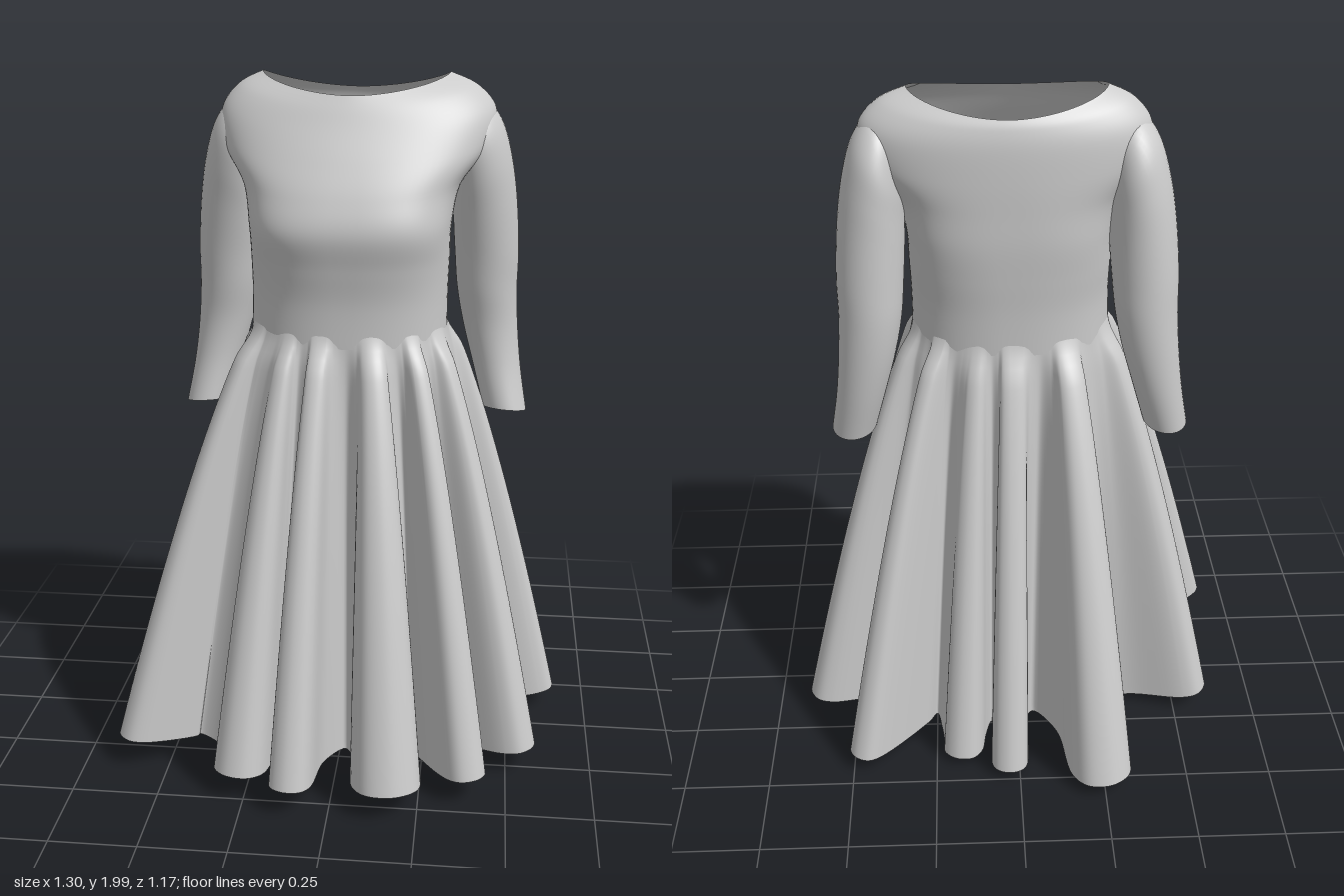
import * as THREE from 'three';

const material = new THREE.MeshStandardMaterial({ color: 0xcccccc, side: THREE.DoubleSide });
const { lerp, smoothstep, degToRad } = THREE.MathUtils;

// Closed loop surface: point(i, t) for loop index i and t running from top to bottom
function loft(name, loopCount, rowCount, point) {
  const positions = [], index = [];
  for (let r = 0; r <= rowCount; r++) {
    for (let i = 0; i < loopCount; i++) positions.push(...point(i, r / rowCount));
  }
  for (let r = 0; r < rowCount; r++) {
    for (let i = 0; i < loopCount; i++) {
      const j = (i + 1) % loopCount;
      const a = r * loopCount + i, b = r * loopCount + j;
      const c = a + loopCount, d = b + loopCount;
      index.push(a, b, c, b, d, c);
    }
  }
  const geometry = new THREE.BufferGeometry();
  geometry.setAttribute('position', new THREE.Float32BufferAttribute(positions, 3));
  geometry.setIndex(index);
  geometry.computeVertexNormals();
  const mesh = new THREE.Mesh(geometry, material);
  mesh.name = name;
  return mesh;
}

// Smoothly interpolates a table of section rows at t = 0..1
function sectionAt(rows, t) {
  const f = t * (rows.length - 1);
  const k = Math.min(Math.floor(f), rows.length - 2), w = f - k;
  const row = (n) => rows[THREE.MathUtils.clamp(n, 0, rows.length - 1)];
  return rows[0].map((_, c) => {
    const p0 = row(k - 1)[c], p1 = row(k)[c], p2 = row(k + 1)[c], p3 = row(k + 2)[c];
    return p1 + 0.5 * w * (p2 - p0 + w * (2 * p0 - 5 * p1 + 4 * p2 - p3 + w * (3 * (p1 - p2) + p3 - p0)));
  });
}

// Point on a rounded torso section
function torsoPoint(a, [cx, width, front, back, zMid, yFront, ySide, yBack, power]) {
  const c = Math.cos(a), s = Math.sin(a);
  const round = (v) => Math.sign(v) * Math.pow(Math.abs(v), 2 / power);
  return [
    cx + width * round(c),
    lerp(ySide, s > 0 ? yFront : yBack, Math.pow(Math.abs(s), 1.5)),
    zMid + (s > 0 ? front - zMid : zMid - back) * round(s),
  ];
}

// Bodice sections, neckline to waist:
// centre x, half width, front z, back z, side z, y front, y side, y back, roundness
const torso = [
  [0.02, 0.262, 0.10, -0.20, -0.075, 1.95, 2.00, 1.945, 1.8],
  [0.024, 0.335, 0.122, -0.212, -0.075, 1.915, 1.965, 1.92, 1.95],
  [0.026, 0.385, 0.15, -0.222, -0.075, 1.865, 1.90, 1.87, 2.05],
  [0.022, 0.375, 0.20, -0.226, -0.065, 1.78, 1.81, 1.78, 2.2],
  [0.016, 0.305, 0.245, -0.226, -0.03, 1.69, 1.71, 1.69, 2.65],
  [0.014, 0.283, 0.27, -0.225, 0, 1.60, 1.60, 1.60, 2.9],
  [0.013, 0.28, 0.252, -0.218, 0, 1.50, 1.50, 1.50, 2.6],
  [0.012, 0.278, 0.235, -0.21, 0.01, 1.40, 1.40, 1.40, 2.4],
  [0.01, 0.28, 0.23, -0.205, 0.01, 1.28, 1.28, 1.28, 2.3],
];

// Sleeve sections, shoulder to cuff: outer x, outer y, inner x, inner y, front z, back z
const sleeve = [
  [0.31, 1.93, 0.275, 1.78, 0.0, -0.15],
  [0.36, 1.92, 0.272, 1.755, 0.03, -0.18],
  [0.405, 1.865, 0.27, 1.715, 0.04, -0.203],
  [0.435, 1.77, 0.272, 1.66, 0.031, -0.21],
  [0.455, 1.65, 0.275, 1.585, 0.01, -0.213],
  [0.467, 1.5, 0.283, 1.48, -0.015, -0.217],
  [0.468, 1.38, 0.293, 1.38, -0.032, -0.218],
  [0.476, 1.26, 0.315, 1.27, -0.048, -0.212],
  [0.49, 1.14, 0.348, 1.15, -0.046, -0.198],
  [0.512, 1.015, 0.383, 1.025, -0.027, -0.175],
];

function makeSleeve(name, side) {
  return loft(name, 40, 48, (i, t) => {
    const a = (i / 40) * Math.PI * 2, c = Math.cos(a), s = Math.sin(a) * side;
    const [ox, oy, ix, iy, zf, zb] = sectionAt(sleeve, t);
    const blend = (1 + c) / 2;
    return [
      lerp(0.028, 0.015, t) + side * lerp(ix, ox, blend),
      lerp(iy, oy, blend) + 0.014 * s * t,
      (zf + zb) / 2 + ((zf - zb) / 2) * s,
    ];
  });
}

// Skirt folds in order around the hem: waist angle, centre x, centre z, fold radius,
// pinch of the neck, then x and z of the valley that follows
const folds = [
  [-20, 0.59, -0.14, 0.06, 0.5, 0.42, 0.03], [28, 0.52, 0.24, 0.065, 0.2, 0.31, 0.21],
  [50, 0.38, 0.42, 0.06, 0.8, 0.22, 0.24], [76, 0.16, 0.485, 0.10, 0.6, 0.02, 0.24],
  [101, -0.11, 0.525, 0.06, 0.7, -0.17, 0.28], [119, -0.265, 0.445, 0.075, 0.2, -0.42, 0.26],
  [147, -0.59, 0.32, 0.06, 0.4, -0.36, 0.08], [202, -0.54, -0.15, 0.065, 0.5, -0.26, -0.17],
  [242, -0.24, -0.50, 0.09, 1, -0.05, -0.20], [271, 0.03, -0.45, 0.055, 0.7, 0.08, -0.25],
  [287, 0.17, -0.38, 0.06, 0, 0.25, -0.22], [313, 0.46, -0.41, 0.05, 1, 0.38, -0.18],
];

function makeSkirt() {
  const waist = [0.01, 0.277, 0.227, -0.202, 0.01, 1.33, 1.33, 1.33, 2.3];
  const count = folds.length;
  const foldAt = (k) => folds[(k + count) % count];
  const angleOf = (k) => degToRad(foldAt(k)[0] + 360 * Math.floor(k / count));
  const valleyOf = (k) => new THREE.Vector3(foldAt(k)[5], 0, foldAt(k)[6]);

  // Hem outline: each fold is a neck opening to a round tip, then a valley
  const hemPoints = [], hemAngles = [];
  folds.forEach(([, x, z, r, pinch], k) => {
    const a = angleOf(k);
    const before = (a - angleOf(k - 1)) / 2, after = (angleOf(k + 1) - a) / 2;
    const [bx, , bz] = torsoPoint(a, waist);
    const base = new THREE.Vector3(bx, 0, bz), centre = new THREE.Vector3(x, 0, z);
    const dir = centre.clone().sub(base).normalize();
    const across = new THREE.Vector3(-dir.z, 0, dir.x);
    const add = (p, out, sideways, angle) => {
      hemPoints.push(p.clone().addScaledVector(dir, out * r).addScaledVector(across, sideways * r));
      hemAngles.push(angle);
    };
    const straight = base.lerp(centre, 0.35);
    const neck = (valley, side, angle) => {
      const wide = valley.lerp(centre, 0.42).addScaledVector(across, side * r * 0.35);
      const narrow = straight.clone().addScaledVector(across, side * r * 0.6);
      add(wide.lerp(narrow, pinch), 0, 0, angle);
    };
    neck(valleyOf(k - 1), -1, a - before * 0.62);
    add(centre, 0, -1, a - before * 0.35);
    add(centre, 0.72, -0.72, a - before * 0.18);
    add(centre, 1, 0, a);
    add(centre, 0.72, 0.72, a + after * 0.18);
    add(centre, 0, 1, a + after * 0.35);
    neck(valleyOf(k), 1, a + after * 0.62);
    add(valleyOf(k), 0, 0, a + after);
  });
  hemAngles.push(hemAngles[0] + Math.PI * 2);

  const curve = new THREE.CatmullRomCurve3(hemPoints, true);
  const steps = 7, total = hemPoints.length * steps;
  const hem = [], top = [];
  for (let i = 0; i < total; i++) {
    const k = Math.floor(i / steps), w = (i % steps) / steps;
    hem.push(curve.getPoint(i / total));
    top.push(torsoPoint(lerp(hemAngles[k], hemAngles[k + 1], w), waist));
  }
  return loft('skirt', total, 50, (i, t) => {
    const [x0, y0, z0] = top[i], { x, z } = hem[i];
    // the gathers open softly under the waist, then fall in a slight curve
    const flare = Math.pow(t, 0.76) * smoothstep(t, -0.03, 0.09);
    const hemY = 0.14 * Math.hypot(x, z) + 0.04 * z - 0.015;
    return [lerp(x0, x, flare), lerp(y0, hemY, t), lerp(z0, z, flare)];
  });
}

export function createModel() {
  const dress = new THREE.Group();
  dress.name = 'dress';
  dress.add(loft('bodice', 96, 56, (i, t) =>
    torsoPoint((i / 96) * Math.PI * 2, sectionAt(torso, t))));
  dress.add(makeSleeve('leftSleeve', 1), makeSleeve('rightSleeve', -1));
  dress.add(makeSkirt());
  return dress;
}
